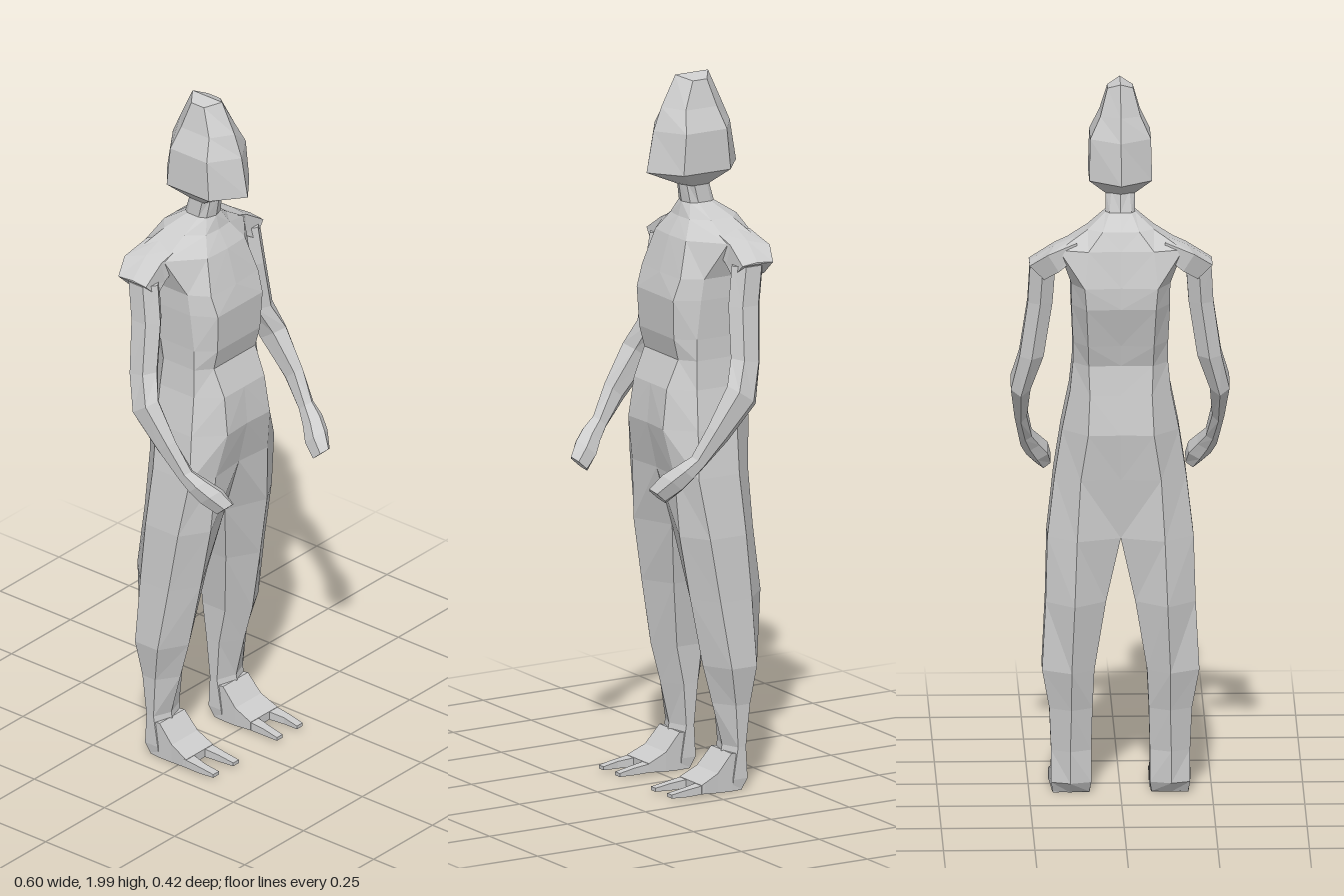
import * as THREE from 'three';

const material = new THREE.MeshStandardMaterial({ color: 0xcccccc, flatShading: true, side: THREE.DoubleSide });

// Skins a list of equal-sized rings of [x, y, z] points, with optional end caps.
// s = -1 mirrors in x. Walls lying on the x = 0 plane are left out.
function loft(name, rings, { s = 1, caps = [true, true] } = {}) {
  const tris = [];
  const n = rings[0].length;
  const add = (a, b, c) => tris.push([a, b, c].map(([x, y, z]) => new THREE.Vector3(x * s, y, z)));
  for (let i = 0; i < rings.length - 1; i++) {
    for (let j = 0; j < n; j++) {
      const k = (j + 1) % n;
      const [a, b, c, d] = [rings[i][j], rings[i][k], rings[i + 1][k], rings[i + 1][j]];
      if ([a, b, c, d].every((p) => p[0] === 0)) continue;
      add(a, b, c);
      add(a, c, d);
    }
  }
  const first = rings[0], last = rings[rings.length - 1];
  for (let j = 1; j < n - 1; j++) {
    if (caps[0]) add(first[0], first[j + 1], first[j]);
    if (caps[1]) add(last[0], last[j], last[j + 1]);
  }
  // Turn all faces outward
  const mid = new THREE.Vector3();
  tris.forEach((t) => t.forEach((p) => mid.addScaledVector(p, 1 / (3 * tris.length))));
  mid.x = rings.some((r) => r[0][0] === 0) ? 0 : mid.x;
  let volume = 0;
  for (const t of tris) {
    const [a, b, c] = t.map((p) => p.clone().sub(mid));
    volume += a.dot(b.cross(c));
  }
  const points = tris.flatMap(([a, b, c]) => (volume < 0 ? [a, c, b] : [a, b, c]));
  const geometry = new THREE.BufferGeometry().setFromPoints(points);
  geometry.computeVertexNormals();
  const mesh = new THREE.Mesh(geometry, material);
  mesh.name = name;
  return mesh;
}

// Half section of the body: inner front, front, side front, side back, back, inner back
const bodyRing = ([y, xi, zif, zib, xf, zf, xs, zsf, zsb, xb, zb]) => [
  [xi, y, zif], [xf, y, zf], [xs, y, zsf], [xs, y, zsb], [xb, y, zb], [xi, y, zib],
];

// Torso down to the crotch
const torso = [
  [1.70, 0, -0.01, -0.10, 0.025, -0.02, 0.04, -0.035, -0.075, 0.025, -0.09],
  [1.64, 0, -0.02, -0.11, 0.03, -0.03, 0.04, -0.05, -0.09, 0.03, -0.105],
  [1.60, 0, -0.01, -0.165, 0.05, -0.015, 0.09, -0.06, -0.13, 0.05, -0.165],
  [1.55, 0, 0.02, -0.185, 0.08, 0.015, 0.17, -0.065, -0.165, 0.09, -0.19],
  [1.45, 0, 0.05, -0.20, 0.10, 0.045, 0.135, -0.01, -0.14, 0.10, -0.21],
  [1.39, 0, 0.065, -0.20, 0.095, 0.065, 0.135, 0, -0.13, 0.095, -0.205],
  [1.28, 0, 0.06, -0.165, 0.09, 0.06, 0.13, 0.01, -0.11, 0.09, -0.175],
  [1.22, 0, 0.045, -0.15, 0.088, 0.045, 0.13, 0.01, -0.10, 0.088, -0.155],
];
const hips = [
  [1.14, 0, 0.08, -0.16, 0.085, 0.08, 0.138, 0.015, -0.105, 0.085, -0.165],
  [1.03, 0, 0.09, -0.175, 0.09, 0.095, 0.16, 0.025, -0.10, 0.09, -0.18],
  [0.90, 0, 0.06, -0.155, 0.11, 0.07, 0.18, 0.035, -0.095, 0.11, -0.165],
  [0.73, 0, 0.01, -0.13, 0.12, 0.06, 0.20, 0.01, -0.105, 0.12, -0.175],
];
// Legs from thigh to sole
const legs = [
  [0.55, 0.04, -0.02, -0.12, 0.127, 0.03, 0.205, -0.02, -0.12, 0.127, -0.195],
  [0.36, 0.072, -0.05, -0.13, 0.135, -0.005, 0.215, -0.05, -0.13, 0.135, -0.18],
  [0.25, 0.077, -0.075, -0.12, 0.135, -0.035, 0.195, -0.075, -0.12, 0.135, -0.155],
  [0.13, 0.08, -0.085, -0.11, 0.138, -0.065, 0.19, -0.085, -0.11, 0.138, -0.14],
  [0.04, 0.08, -0.07, -0.115, 0.138, -0.05, 0.19, -0.07, -0.115, 0.138, -0.135],
  [0.01, 0.085, -0.07, -0.10, 0.138, -0.05, 0.185, -0.07, -0.10, 0.138, -0.11],
];

// Head section: points at centre front and back, flat sides; drop lowers the side points
const headRing = ([y, w, zf, zb, sf, sb, drop]) => [
  [0, y, zf], [w, y - drop, sf], [w, y - drop, sb], [0, y, zb], [-w, y - drop, sb], [-w, y - drop, sf],
];
const head = [
  [2.00, 0.035, 0, -0.105, -0.035, -0.08, 0.015],
  [1.915, 0.055, 0.045, -0.145, 0, -0.10, 0.005],
  [1.85, 0.083, 0.07, -0.175, 0.015, -0.115, 0],
  [1.735, 0.086, 0.092, -0.195, 0.025, -0.125, 0],
  [1.69, 0.04, -0.01, -0.10, -0.03, -0.08, 0],
];

// Arm section: hexagon round a centre, turned forward by tilt
const armRing = ([x, y, z, rx, rv, tilt]) => Array.from({ length: 6 }, (_, i) => {
  const a = (i * Math.PI) / 3;
  const v = rv * Math.cos(a);
  return [x + rx * 1.15 * Math.sin(a), y + v * Math.sin(tilt), z + v * Math.cos(tilt)];
});
const arm = [
  [0.213, 1.50, -0.10, 0.035, 0.05, 0],
  [0.22, 1.39, -0.085, 0.034, 0.05, 0],
  [0.243, 1.24, -0.075, 0.033, 0.047, 0.2],
  [0.272, 1.15, -0.045, 0.027, 0.055, 0.6],
  [0.27, 1.05, 0.03, 0.017, 0.04, 0.7],
  [0.256, 0.975, 0.085, 0.018, 0.027, 0.7],
];
const hand = [
  arm[5],
  [0.242, 0.945, 0.12, 0.026, 0.034, 0.73],
  [0.222, 0.915, 0.15, 0.03, 0.04, 0.73],
  [0.204, 0.88, 0.183, 0.02, 0.035, 0.73],
];

// Sloping shoulder cap: top edge, back ridge and underside
const shoulder = [
  [[0.12, 1.575, -0.055], [0.12, 1.58, -0.12], [0.12, 1.57, -0.165], [0.12, 1.53, -0.165], [0.12, 1.53, -0.055]],
  [[0.18, 1.55, -0.065], [0.18, 1.555, -0.12], [0.20, 1.54, -0.18], [0.17, 1.49, -0.17], [0.17, 1.49, -0.06]],
  [[0.25, 1.505, -0.062], [0.25, 1.51, -0.11], [0.25, 1.505, -0.16], [0.21, 1.465, -0.155], [0.21, 1.465, -0.055]],
];

// Rectangular section across z, for feet and toes
const footRing = ([z, x0, x1, y0, y1]) => [[x0, y0, z], [x1, y0, z], [x1, y1, z], [x0, y1, z]];
const foot = [
  [-0.10, 0.085, 0.185, 0.008, 0.11],
  [-0.065, 0.082, 0.188, 0.008, 0.115],
  [-0.02, 0.08, 0.19, 0.01, 0.065],
  [0.035, 0.08, 0.195, 0.015, 0.04],
];
const toes = {
  innerToe: [[0.025, 0.08, 0.115, 0.015, 0.04], [0.08, 0.083, 0.108, 0.013, 0.033], [0.128, 0.081, 0.105, 0.015, 0.025]],
  outerToe: [[0.025, 0.158, 0.195, 0.015, 0.04], [0.08, 0.168, 0.193, 0.013, 0.033], [0.128, 0.166, 0.19, 0.015, 0.025]],
};

export function createModel() {
  const model = new THREE.Group();
  model.name = 'figure';
  model.add(loft('head', head.map(headRing)));

  for (const [side, s] of [['left', 1], ['right', -1]]) {
    const half = new THREE.Group();
    half.name = `${side}Half`;
    const open = { s, caps: [false, false] };
    half.add(
      loft('torso', [...torso, hips[0]].map(bodyRing), open),
      loft('hips', hips.map(bodyRing), open),
      loft('leg', [hips[3], ...legs].map(bodyRing), { s, caps: [false, true] }),
      loft('foot', foot.map(footRing), { s }),
      loft('shoulder', shoulder, { s }),
      loft('arm', arm.map(armRing), { s, caps: [true, false] }),
      loft('hand', hand.map(armRing), { s, caps: [false, true] }),
    );
    for (const [name, rings] of Object.entries(toes)) half.add(loft(name, rings.map(footRing), { s }));
    model.add(half);
  }
  return model;
}
